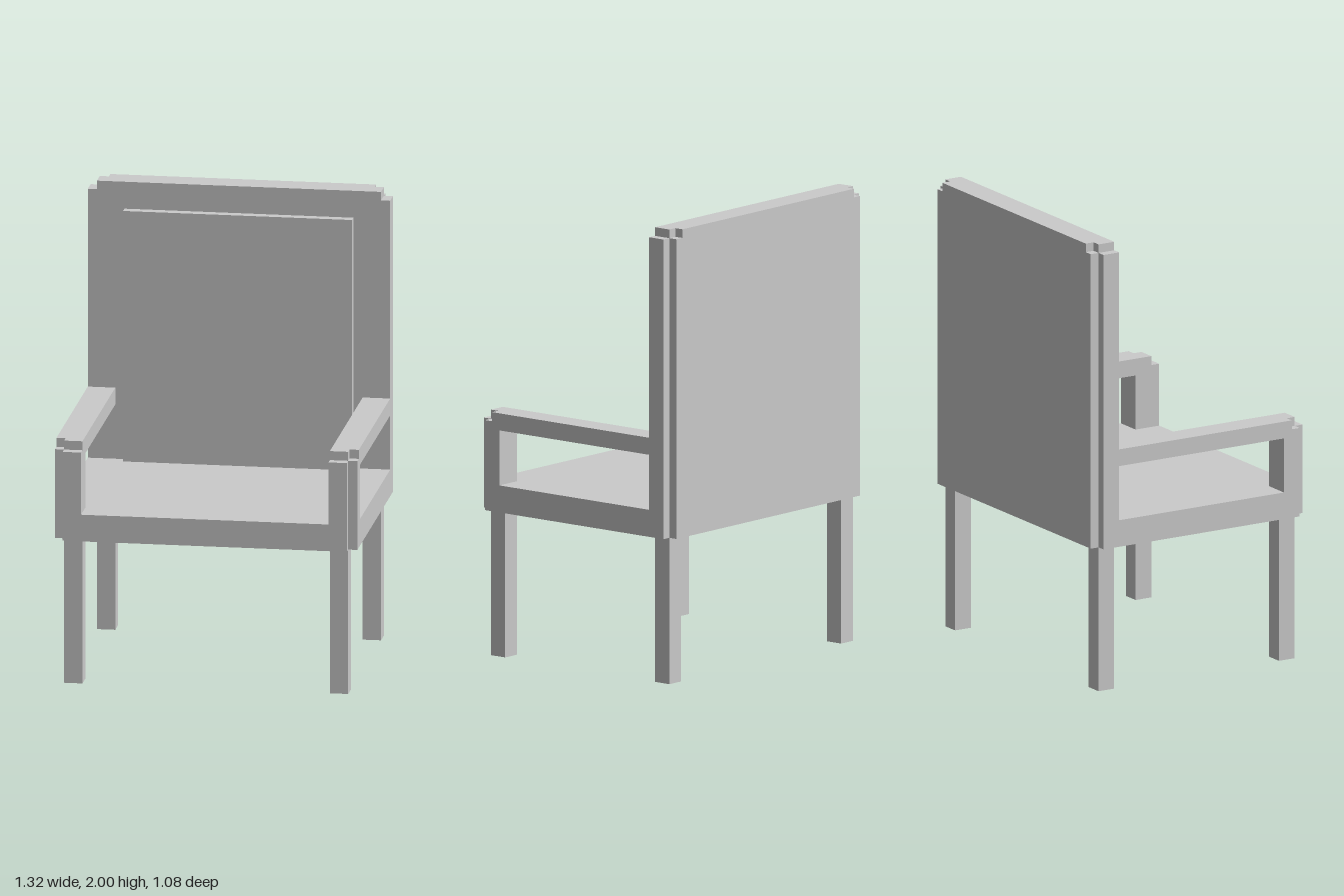
import * as THREE from 'three';

export function createModel() {
  const group = new THREE.Group();
  const material = new THREE.MeshStandardMaterial({ color: 0xcccccc, flatShading: true });
  const base = 0.644, seatTop = 0.763, armBottom = 1.005, armStep = 1.04, armTop = 1.08;
  const backStep = 1.962, thick = 0.04;

  const add = (name, geometry) => {
    const mesh = new THREE.Mesh(geometry, material);
    mesh.name = name;
    group.add(mesh);
    return mesh;
  };

  // Box given by its low and high limits on each axis
  const box = (name, [x0, x1], [y0, y1], [z0, z1]) =>
    add(name, new THREE.BoxGeometry(x1 - x0, y1 - y0, z1 - z0))
      .position.set((x0 + x1) / 2, (y0 + y1) / 2, (z0 + z1) / 2);

  const outline = (points) => points.map(([x, y]) => new THREE.Vector2(x, y));
  const panel = (name, points, hole) => {
    const shape = new THREE.Shape(outline(points));
    if (hole) shape.holes.push(new THREE.Path(outline(hole)));
    return add(name, new THREE.ExtrudeGeometry(shape, { depth: thick, bevelEnabled: false }));
  };

  // Seat, recessed underneath behind the skirt
  box('seat', [-0.62, 0.62], [base + thick, seatTop], [-0.5, 0.5]);

  // Backrest core, rear panel with notched top corners, and cushion
  box('backrest', [-0.62, 0.62], [base + thick, 2], [-0.5, -0.42]);
  panel('rearPanel', [
    [-0.62, base], [0.62, base], [0.62, backStep], [0.58, backStep],
    [0.58, 2], [-0.58, 2], [-0.58, backStep], [-0.62, backStep],
  ]).position.z = -0.54;
  box('backCushion', [-0.5, 0.5], [seatTop, 1.88], [-0.42, -0.38]);

  // Front panel: apron with a raised strip in front of each arm post
  panel('frontPanel', [
    [-0.62, base], [0.62, base], [0.62, armStep], [0.54, armStep],
    [0.54, seatTop], [-0.54, seatTop], [-0.54, armStep], [-0.62, armStep],
  ]).position.z = 0.5;

  for (const s of [-1, 1]) {
    const side = s > 0 ? 'left' : 'right';
    const span = s > 0 ? [0.54, 0.62] : [-0.62, -0.54];

    // Side panel drawn with -z along its width, open below the arm
    const sidePanel = panel(side + 'SidePanel', [
      [-0.5, base], [0.5, base], [0.5, backStep], [0.42, backStep], [0.42, armTop],
      [-0.46, armTop], [-0.46, armStep], [-0.5, armStep],
    ], [[-0.42, seatTop], [-0.42, armBottom], [0.42, armBottom], [0.42, seatTop]]);
    sidePanel.rotation.y = Math.PI / 2;
    sidePanel.position.x = s > 0 ? 0.62 : -0.66;

    // Arm, its front post and the legs
    box(side + 'Arm', span, [armBottom, armTop], [-0.42, 0.5]);
    box(side + 'ArmPost', span, [seatTop, armBottom], [0.42, 0.5]);
    box(side + 'FrontLeg', span, [0, base + thick], [0.42, 0.5]);
    box(side + 'BackLeg', span, [0, base + thick], [-0.5, -0.42]);
  }
  return group;
}
